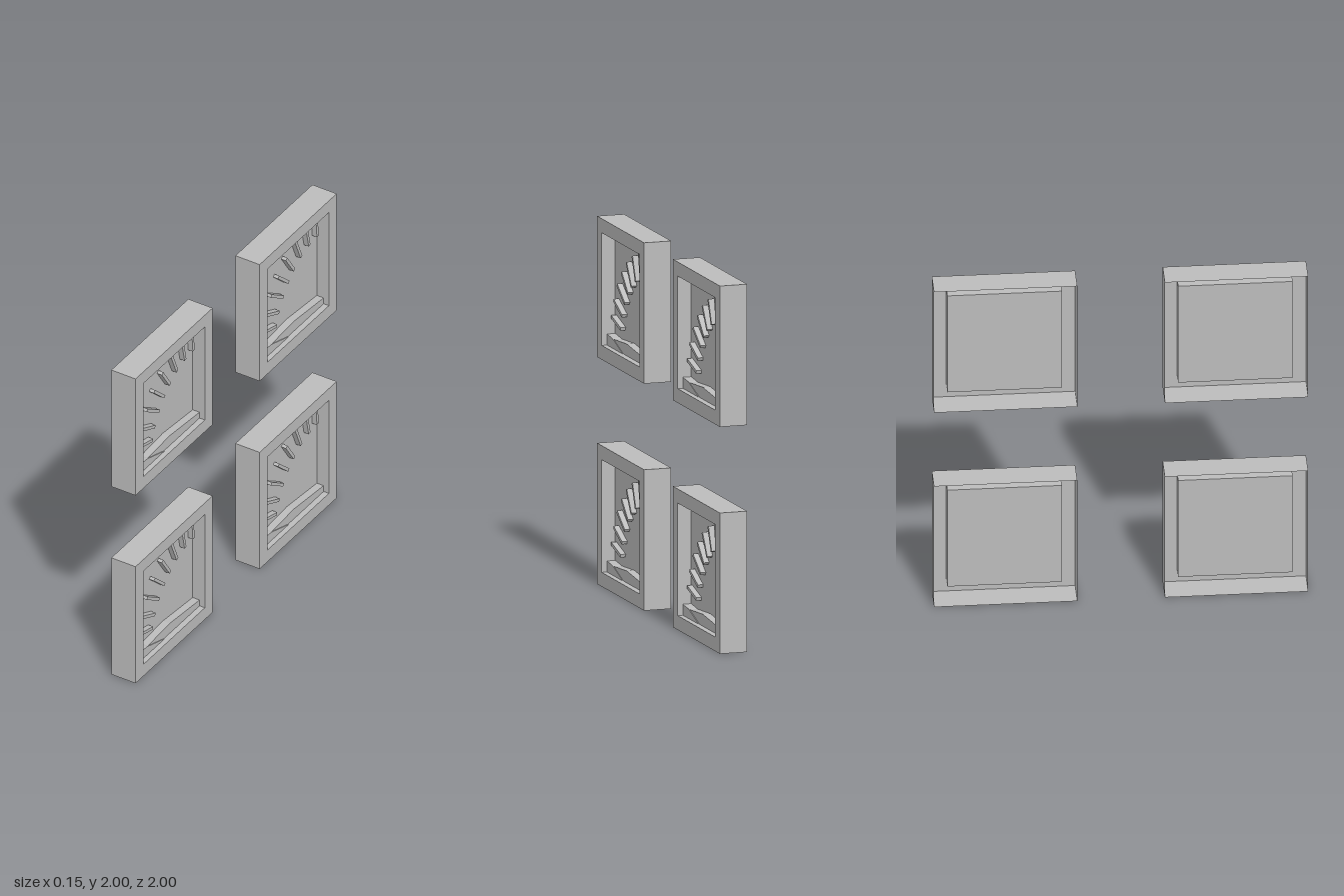
import * as THREE from 'three';

const SIZE = 0.766, DEPTH = 0.153, RIM = 0.077;
const OPENING = SIZE - 2 * RIM, MID = SIZE / 2;

export function createModel() {
  const stone = new THREE.MeshStandardMaterial({ color: 0xbcbcbc, side: THREE.DoubleSide, flatShading: true });
  stone.name = 'light grey';

  const mesh = (name, geometry) => {
    const m = new THREE.Mesh(geometry, stone);
    m.name = name;
    return m;
  };

  // Open square sleeve running from depth w0 to w1
  const sleeve = (side, w0, w1) => {
    const r = side / Math.SQRT2;
    return new THREE.CylinderGeometry(r, r, w1 - w0, 4, 1, true)
      .rotateY(Math.PI / 4).rotateX(Math.PI / 2)
      .translate(MID, MID, (w0 + w1) / 2);
  };

  const outline = (pts) => new THREE.Shape(pts.map(([u, v]) => new THREE.Vector2(u, v)));
  const square = (a, b) => [[a, a], [b, a], [b, b], [a, b]];
  const relief = (pts, depth) => new THREE.ExtrudeGeometry(outline(pts), { depth, bevelEnabled: false });

  // Sun rays: outer end u, v, then inner end u, v
  const rays = [
    [0.096, 0.233, 0.246, 0.195], [0.134, 0.33, 0.27, 0.27],
    [0.19, 0.425, 0.312, 0.345], [0.262, 0.505, 0.364, 0.41],
    [0.342, 0.575, 0.42, 0.457], [0.437, 0.628, 0.49, 0.5],
    [0.54, 0.668, 0.57, 0.527], [0.64, 0.687, 0.652, 0.537],
  ];

  function createTile() {
    const tile = new THREE.Group();
    tile.name = 'reliefTile';

    // Front rim, outer shell (open at the back) and recess
    const rim = outline(square(0, SIZE));
    rim.holes.push(outline(square(RIM, SIZE - RIM)));
    tile.add(mesh('frontRim', new THREE.ShapeGeometry(rim).translate(0, 0, DEPTH / 2)));
    tile.add(mesh('outerShell', sleeve(SIZE, -DEPTH / 2, DEPTH / 2)));
    tile.add(mesh('recessWalls', sleeve(OPENING, 0, DEPTH / 2)));
    tile.add(mesh('backPanel', new THREE.PlaneGeometry(OPENING, OPENING).translate(MID, MID, 0)));

    // Raised rays
    for (const [u0, v0, u1, v1] of rays) {
      const bar = mesh('sunRay', new THREE.BoxGeometry(Math.hypot(u1 - u0, v1 - v0), 0.018, 0.03));
      bar.position.set((u0 + u1) / 2, (v0 + v1) / 2, 0.015);
      bar.rotation.z = Math.atan2(v1 - v0, u1 - u0);
      tile.add(bar);
    }

    // Low hills along the bottom of the recess
    const end = SIZE - RIM;
    tile.add(mesh('wideHill', relief([[RIM, RIM], [end, RIM], [end, 0.115], [0.39, 0.142], [0.165, 0.126], [RIM, 0.115]], 0.043)));
    tile.add(mesh('sideHill', relief([[RIM, RIM], [0.337, RIM], [0.165, 0.13], [RIM, 0.137]], 0.047)));
    return tile;
  }

  // Two by two arrangement, facing +x
  const model = new THREE.Group();
  model.name = 'reliefTileSet';
  const wall = new THREE.Group();
  wall.name = 'tiles';
  wall.rotation.y = Math.PI / 2;
  for (const u of [-1, 1 - SIZE]) {
    for (const v of [0, 2 - SIZE]) {
      const tile = createTile();
      tile.position.set(u, v, 0);
      wall.add(tile);
    }
  }
  model.add(wall);
  return model;
}
